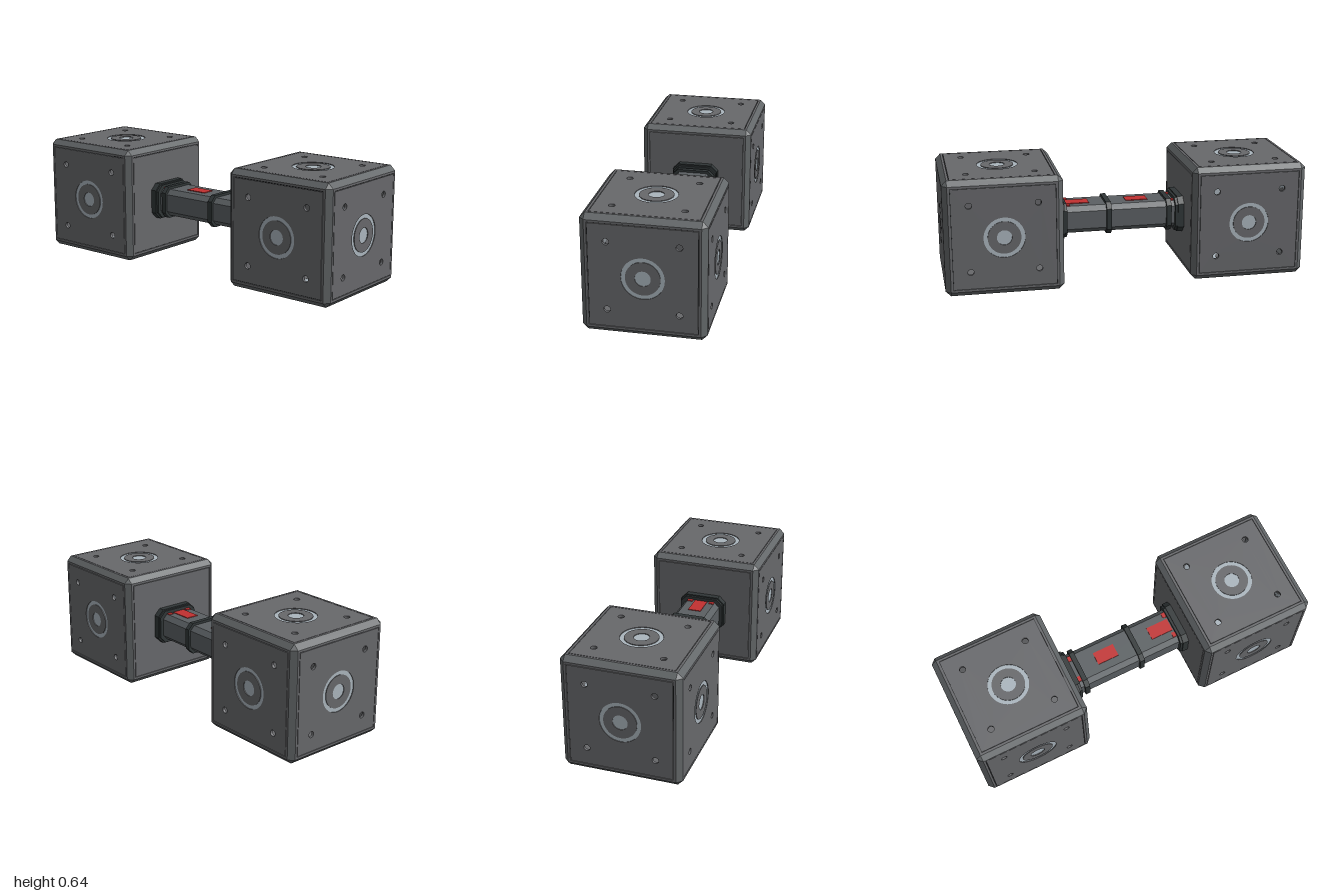
import * as THREE from 'three';

const mat = (name, color, side = THREE.FrontSide) => {
  const m = new THREE.MeshStandardMaterial({ color, side });
  m.name = name;
  return m;
};

const H = 0.322, C = 0.028, F = H - C; // cube half size, chamfer, flat face half size
const CY = H, CZ = 1 - H;              // cube centres

function square(s) {
  return new THREE.Shape([[-s, -s], [s, -s], [s, s], [-s, s]].map(p => new THREE.Vector2(...p)));
}
function circle(r, x = 0, y = 0) {
  return new THREE.Path().absarc(x, y, r, 0, Math.PI * 2, true);
}
function disc(r) {
  return new THREE.Shape().absarc(0, 0, r, 0, Math.PI * 2, false);
}
// Octagon: a rectangle of half sizes w, h with corners cut by c
function octagon(w, h, c) {
  return new THREE.Shape([
    [w, c - h], [w, h - c], [w - c, h], [c - w, h],
    [-w, h - c], [-w, c - h], [c - w, -h], [w - c, -h],
  ].map(p => new THREE.Vector2(...p)));
}
// Plate whose outer face lies at z = top
function plate(name, shape, holes, depth, top, material) {
  shape.holes.push(...holes);
  const g = new THREE.ExtrudeGeometry(shape, { depth, bevelEnabled: false, curveSegments: 20 });
  g.translate(0, 0, top - depth);
  const m = new THREE.Mesh(g, material);
  m.name = name;
  return m;
}

// The twelve bevelled edges and eight corners of a cube, open on its six faces
function chamferGeometry() {
  const pos = [];
  const tri = (...v) => {
    const n = v[1].clone().sub(v[0]).cross(v[2].clone().sub(v[0]));
    if (n.dot(v[0]) < 0) v.reverse();
    v.forEach(p => pos.push(p.x, p.y, p.z));
  };
  const point = (axis, signs) =>
    new THREE.Vector3(...signs.map((s, i) => s * (i === axis ? H : F)));
  const S = [-1, 1];
  for (let a = 0; a < 3; a++) {
    const b = (a + 1) % 3, c = (a + 2) % 3;
    for (const sb of S) for (const sc of S) {
      const at = (axis, sa) => {
        const s = [0, 0, 0];
        s[a] = sa; s[b] = sb; s[c] = sc;
        return point(axis, s);
      };
      tri(at(b, -1), at(b, 1), at(c, 1));
      tri(at(b, -1), at(c, 1), at(c, -1));
    }
  }
  for (const x of S) for (const y of S) for (const z of S)
    tri(point(0, [x, y, z]), point(1, [x, y, z]), point(2, [x, y, z]));
  const g = new THREE.BufferGeometry();
  g.setAttribute('position', new THREE.Float32BufferAttribute(pos, 3));
  g.computeVertexNormals();
  return g;
}

export function createModel() {
  const panelGrey = mat('panel grey', 0x67686b);
  const edgeGrey = mat('edge grey', 0x636769, THREE.DoubleSide);
  const handleGrey = mat('handle grey', 0x5b6063);
  const darkTrim = mat('dark trim', 0x303637);
  const groove = mat('groove black', 0x1c1e20);
  const silver = mat('pale silver', 0xaab5bd);
  const red = mat('red', 0xc23030);

  const model = new THREE.Group();
  model.name = 'cubeDumbbell';

  // One cube face, looking along +z; a plain one has no bolt holes or rings
  function cubeFace(plain) {
    const face = new THREE.Group();
    face.name = plain ? 'innerFace' : 'ringedFace';
    face.add(plate('faceFrame', square(F), [square(0.2815)], 0.012, H, edgeGrey === null ? null : panelGrey));
    face.add(plate('panelGroove', square(0.287), [square(0.272)], 0.006, H - 0.006, groove));
    const holes = [];
    if (!plain) {
      for (const x of [-0.185, 0.185]) for (const y of [-0.185, 0.185]) holes.push(circle(0.017, x, y));
      holes.push(circle(0.112));
      face.add(plate('outerRing', disc(0.112), [circle(0.09)], 0.01, H - 0.004, silver));
      face.add(plate('middleRing', disc(0.09), [circle(0.041)], 0.015, H, panelGrey));
      face.add(plate('centreDisc', disc(0.041), [], 0.01, H - 0.004, silver));
    }
    face.add(plate('facePanel', square(0.2785), holes, 0.015, H, panelGrey));
    return face;
  }

  // Hollow end cubes: the back one is the front one turned about y
  const edges = chamferGeometry();
  for (const [name, s] of [['frontCube', 1], ['backCube', -1]]) {
    const cube = new THREE.Group();
    cube.name = name;
    const rim = new THREE.Mesh(edges, edgeGrey);
    rim.name = 'bevelledEdges';
    cube.add(rim);
    for (let i = 0; i < 4; i++) {
      const f = cubeFace(i === 2);
      f.rotation.y = i * Math.PI / 2;
      cube.add(f);
    }
    for (const d of [-1, 1]) {
      const f = cubeFace(false);
      f.rotation.x = d * Math.PI / 2;
      cube.add(f);
    }
    cube.position.set(0, CY, s * CZ);
    if (s < 0) cube.rotation.y = Math.PI;
    model.add(cube);
  }

  // Handle bar, end collars and grip rings
  const handle = new THREE.Group();
  handle.name = 'handle';
  handle.position.y = 0.324;
  model.add(handle);
  const prism = (name, w, h, c, z0, z1, m) =>
    handle.add(plate(name, octagon(w, h, c), [], z1 - z0, z1, m));
  prism('gripBar', 0.108, 0.077, 0.027, -0.36, 0.36, handleGrey);
  for (const s of [-1, 1]) {
    const span = (a, b) => (s > 0 ? [a, b] : [-b, -a]);
    prism('collarFlange', 0.133, 0.103, 0.036, ...span(0.322, 0.358), darkTrim);
    prism('collarStep', 0.127, 0.096, 0.034, ...span(0.308, 0.322), darkTrim);
  }
  for (const z of [0.07, -0.273])
    prism('gripRing', 0.122, 0.091, 0.032, z - 0.014, z + 0.014, darkTrim);

  // Red markings on top of the grip
  const mark = (name, x, z, w, d) => {
    const m = new THREE.Mesh(new THREE.BoxGeometry(w, 0.006, d), red);
    m.name = name;
    m.position.set(x, 0.078, z);
    handle.add(m);
  };
  mark('redPlate', 0, -0.102, 0.074, 0.125);
  mark('redPlate', 0, 0.237, 0.074, 0.13);
  for (const x of [-0.065, 0.065]) for (const z of [-0.299, 0.296])
    mark('redTab', x, z, 0.03, 0.022);

  return model;
}
